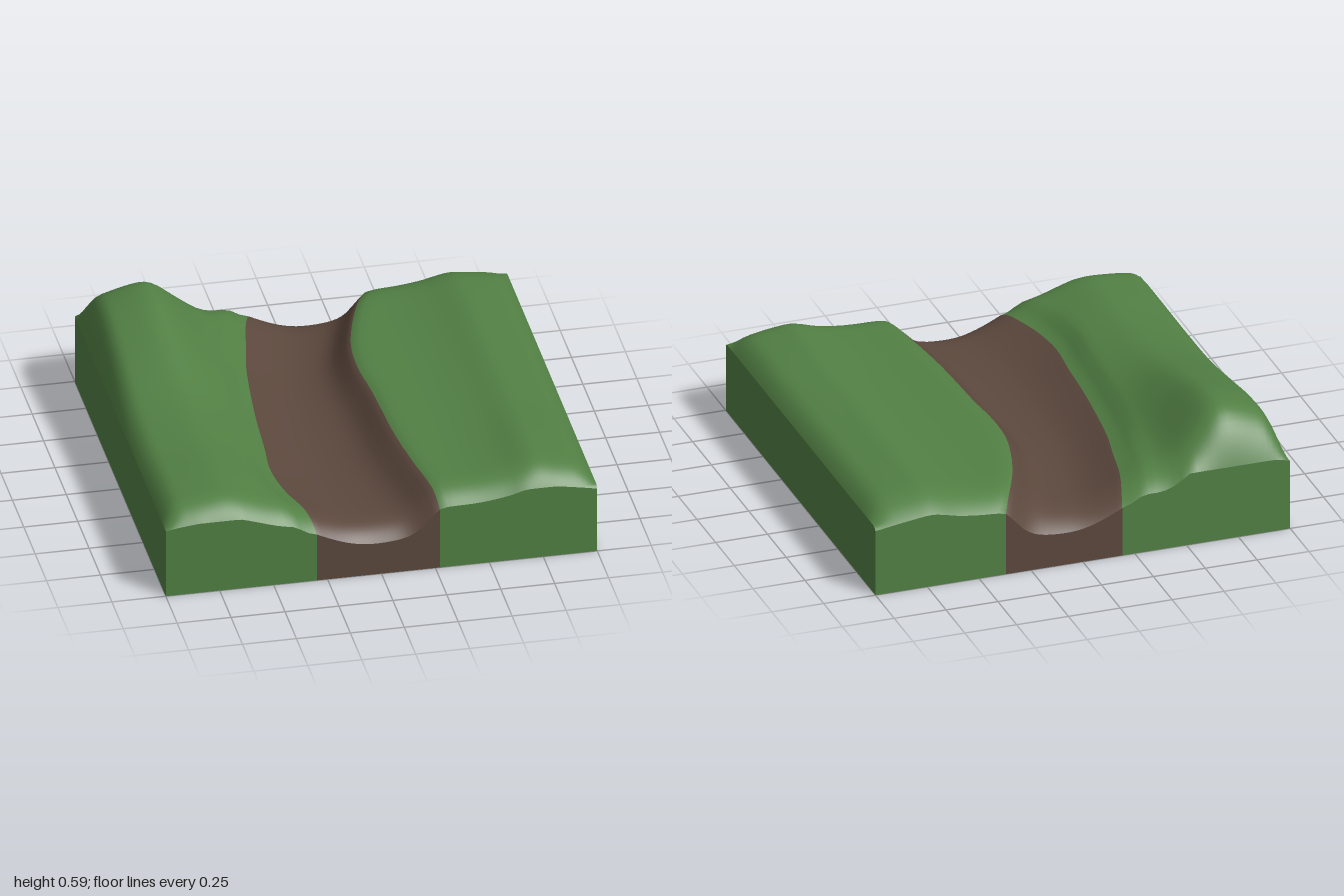
import * as THREE from 'three';

const grass = new THREE.MeshStandardMaterial({ name: 'grass green', color: 0x528044, side: THREE.DoubleSide });
const earth = new THREE.MeshStandardMaterial({ name: 'earth brown', color: 0x5c483d, side: THREE.DoubleSide });

// Smooth curve through [position, value] knots (cubic Hermite)
function curve(knots) {
  const slope = (i) => {
    const a = knots[Math.max(i - 1, 0)], b = knots[Math.min(i + 1, knots.length - 1)];
    return (b[1] - a[1]) / (b[0] - a[0]);
  };
  return (x) => {
    let i = 0;
    while (i < knots.length - 2 && x > knots[i + 1][0]) i++;
    const [x0, y0] = knots[i], [x1, y1] = knots[i + 1], d = x1 - x0;
    const t = THREE.MathUtils.clamp((x - x0) / d, 0, 1), t2 = t * t, t3 = t2 * t;
    return y0 * (2 * t3 - 3 * t2 + 1) + slope(i) * d * (t3 - 2 * t2 + t)
      + y1 * (3 * t2 - 2 * t3) + slope(i + 1) * d * (t3 - t2);
  };
}

// Banks of the channel, seen from above
const bankA = curve([[-1, -0.19], [-0.8, -0.25], [-0.6, -0.29], [-0.4, -0.33], [0, -0.375],
  [0.3, -0.395], [0.5, -0.41], [0.7, -0.385], [0.85, -0.34], [1, -0.3]]);
const bankB = curve([[-1, 0.37], [-0.8, 0.27], [-0.6, 0.2], [-0.4, 0.155], [-0.2, 0.148],
  [0, 0.165], [0.4, 0.185], [0.7, 0.22], [1, 0.27]]);

// Cross-sections of the channel and hills, and the ridge heights along z
const bed = curve([[0, 0.31], [0.1, 0.283], [0.25, 0.25], [0.4, 0.232], [0.6, 0.233],
  [0.75, 0.25], [0.85, 0.285], [0.93, 0.335], [1, 0.375]]);
const tallShape = curve([[-1, 0.7], [-0.9, 0.8], [-0.8, 0.94], [-0.72, 1], [-0.66, 0.9],
  [-0.58, 0.6], [-0.48, 0.2], [-0.4, 0.02], [-0.3, 0], [-0.1, 0]]);
const tallRidge = curve([[-1, 0.575], [-0.7, 0.592], [-0.4, 0.54], [0, 0.458],
  [0.35, 0.435], [0.7, 0.442], [1, 0.44]]);
const lowShape = curve([[0.1, 0], [0.42, 0], [0.58, 0.35], [0.72, 1], [0.8, 0.85], [0.9, 0.55], [1, 0.2]]);
const lowRidge = curve([[-1, 0.43], [-0.6, 0.437], [0.3, 0.435], [0.7, 0.448], [1, 0.44]]);

const ease = (d) => 1 - Math.pow(1 - Math.min(Math.max(d, 0), 1), 3);

function height(x, z) {
  const a = bankA(z), b = bankB(z);
  let h;
  if (x < a) {
    const near = THREE.MathUtils.smoothstep(1 - (a - x) / 0.12, 0, 1);
    h = 0.36 + (tallRidge(z) - 0.36) * tallShape(x) * (1 - near) - 0.05 * near;
  } else if (x > b) {
    const near = Math.max(0, 1 - (x - b) / 0.06);
    h = 0.385 + (lowRidge(z) - 0.385) * lowShape(x) - 0.01 * near * near;
  } else {
    h = bed((x - a) / (b - a));
  }
  // rounded rims at the ends and sides
  const end = Math.min(h - 0.07, 0.36);
  h = end + (h - end) * ease((1 - Math.abs(z)) / (z < 0 ? 0.25 : 0.18));
  const side = Math.min(h, 0.34);
  return side + (h - side) * ease((1 - Math.abs(x)) / 0.12);
}

const ROWS = 56, COLS = [26, 20, 26];
const TOTAL = COLS[0] + COLS[1] + COLS[2];
const rowZ = (j) => Math.sin((j / ROWS - 0.5) * Math.PI);

// Columns follow the banks so that the colours meet along them
function columnX(i, z) {
  const a = bankA(z), b = bankB(z);
  if (i <= COLS[0]) return -1 + (a + 1) * Math.pow(i / COLS[0], 1.4);
  if (i <= COLS[0] + COLS[1]) return a + (b - a) * (i - COLS[0]) / COLS[1];
  return 1 - (1 - b) * Math.pow((TOTAL - i) / COLS[2], 1.4);
}

function surfacePoint(i, j) {
  const z = rowZ(j), x = columnX(i, z);
  return [x, height(x, z), z];
}

// Upright wall from the rim points down to the ground
function wall(points) {
  const pos = [], index = [];
  points.forEach(([x, y, z], k) => {
    pos.push(x, y, z, x, 0, z);
    if (k) index.push(2 * k - 2, 2 * k - 1, 2 * k, 2 * k, 2 * k - 1, 2 * k + 1);
  });
  const g = new THREE.BufferGeometry();
  g.setAttribute('position', new THREE.Float32BufferAttribute(pos, 3));
  g.setIndex(index);
  g.computeVertexNormals();
  return g;
}

export function createModel() {
  const model = new THREE.Group();
  model.name = 'terrainTile';

  // Whole upper surface, shared so shading is continuous over the banks
  const pos = [], all = [], strips = [[], [], []];
  for (let j = 0; j <= ROWS; j++)
    for (let i = 0; i <= TOTAL; i++) pos.push(...surfacePoint(i, j));
  for (let i = 0; i < TOTAL; i++) {
    const s = i < COLS[0] ? 0 : i < COLS[0] + COLS[1] ? 1 : 2;
    for (let j = 0; j < ROWS; j++) {
      const p = j * (TOTAL + 1) + i, q = p + TOTAL + 1;
      strips[s].push(p, q, p + 1, p + 1, q, q + 1);
    }
  }
  strips.forEach((s) => all.push(...s));
  const surface = new THREE.BufferGeometry();
  surface.setAttribute('position', new THREE.Float32BufferAttribute(pos, 3));
  surface.setIndex(all);
  surface.computeVertexNormals();

  const parts = [['tallHill', grass], ['channel', earth], ['lowHill', grass]];
  let first = 0;
  parts.forEach(([name, material], s) => {
    const group = new THREE.Group();
    group.name = name;
    const add = (label, geometry) => {
      const mesh = new THREE.Mesh(geometry, material);
      mesh.name = name + label;
      group.add(mesh);
    };
    const top = new THREE.BufferGeometry();
    top.setAttribute('position', surface.getAttribute('position'));
    top.setAttribute('normal', surface.getAttribute('normal'));
    top.setIndex(strips[s]);
    add('Top', top);

    // Front and back walls of this strip
    const cols = Array.from({ length: COLS[s] + 1 }, (_, k) => first + k);
    add('FrontWall', wall(cols.map((i) => surfacePoint(i, ROWS))));
    add('BackWall', wall(cols.map((i) => surfacePoint(i, 0)).reverse()));

    // Outer side wall of each hill
    const rows = Array.from({ length: ROWS + 1 }, (_, j) => j);
    if (s === 0) add('SideWall', wall(rows.map((j) => surfacePoint(0, j))));
    if (s === 2) add('SideWall', wall(rows.map((j) => surfacePoint(TOTAL, j)).reverse()));
    first += COLS[s];
    model.add(group);
  });
  return model;
}
